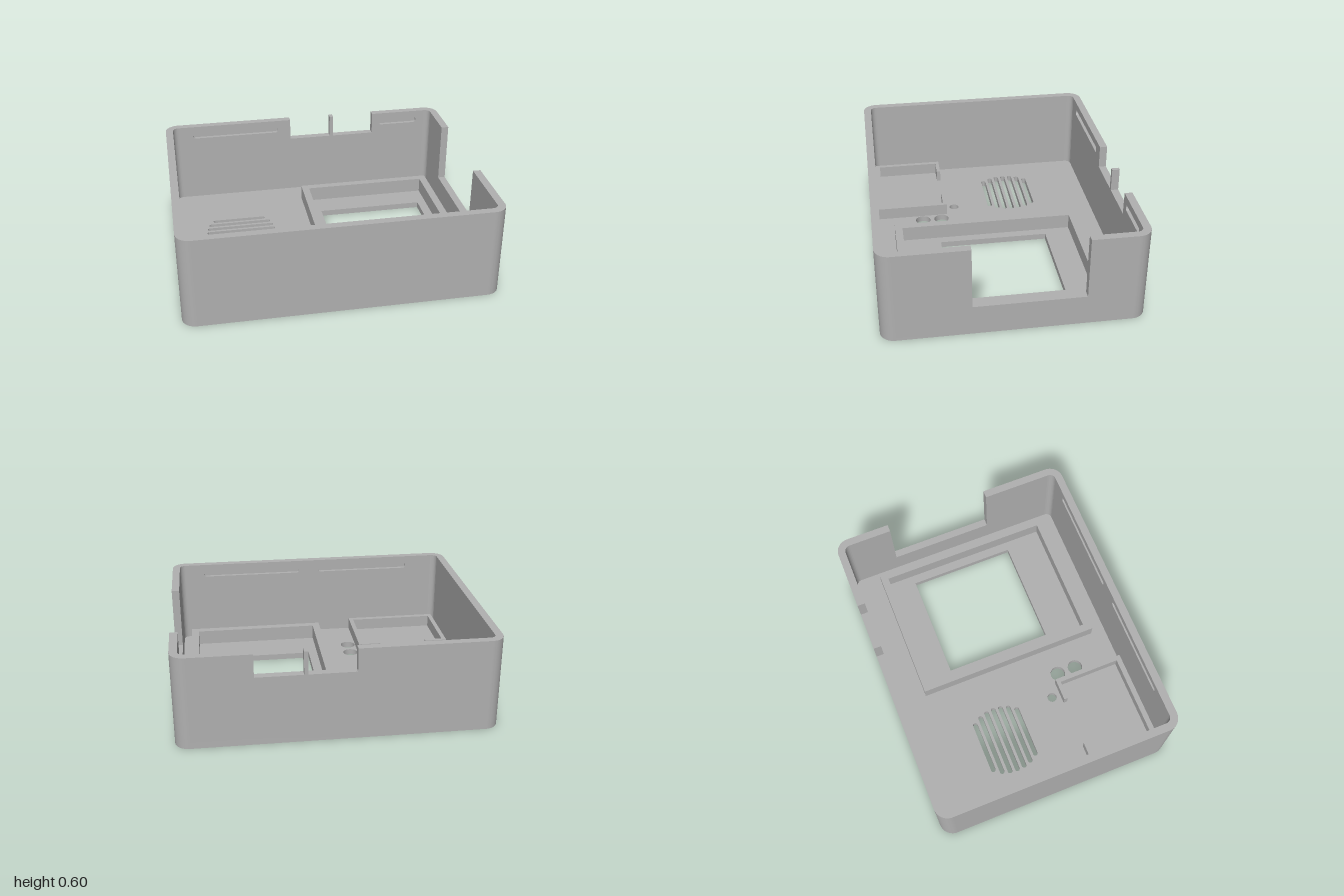
import * as THREE from 'three';
import { toCreasedNormals } from 'three/addons/utils/BufferGeometryUtils.js';

const W = 1, D = 0.81, H = 0.6;       // half width, half depth, height
const T = 0.05, R = 0.09, F = 0.04;   // wall thickness, corner radius, floor thickness

const grey = new THREE.MeshStandardMaterial({ color: 0xb0b0b0 });
grey.name = 'grey plastic';

const poly = (pts) => new THREE.Shape(pts.map(([x, y]) => new THREE.Vector2(x, y)));
const rect = (x0, y0, x1, y1) => poly([[x0, y0], [x1, y0], [x1, y1], [x0, y1]]);

function roundRect(x0, y0, x1, y1, r) {
  const s = new THREE.Shape();
  s.absarc(x1 - r, y1 - r, r, 0, Math.PI / 2);
  s.absarc(x0 + r, y1 - r, r, Math.PI / 2, Math.PI);
  s.absarc(x0 + r, y0 + r, r, Math.PI, Math.PI * 1.5);
  s.absarc(x1 - r, y0 + r, r, Math.PI * 1.5, Math.PI * 2);
  s.closePath();
  return s;
}

function circle(x, y, r) {
  const s = new THREE.Shape();
  s.absarc(x, y, r, 0, Math.PI * 2);
  return s;
}

function extrude(shape, depth) {
  return new THREE.ExtrudeGeometry(shape, { depth, bevelEnabled: false, curveSegments: 10 });
}

export function createModel() {
  const model = new THREE.Group();

  const add = (name, geo) => {
    const mesh = new THREE.Mesh(toCreasedNormals(geo, 0.6), grey);
    mesh.name = name;
    model.add(mesh);
  };
  // plan shape (x, z) raised from y0 to y1
  const plan = (name, shape, y0, y1) =>
    add(name, extrude(shape, y1 - y0).rotateX(Math.PI / 2).translate(0, y1, 0));
  // upright panel facing z, from z0 to z1
  const across = (name, shape, z0, z1) => add(name, extrude(shape, z1 - z0).translate(0, 0, z0));
  // upright panel facing x, drawn in (-z, y)
  const along = (name, shape, x0) => add(name, extrude(shape, T).rotateY(Math.PI / 2).translate(x0, 0, 0));

  // Floor with window, button holes and speaker slots
  const floor = roundRect(-W, -D, W, D, R);
  floor.holes.push(rect(0.06, -0.365, 0.78, 0.357));
  floor.holes.push(circle(-0.385, 0.218, 0.032), circle(-0.24, 0.323, 0.051), circle(-0.24, 0.453, 0.051));
  [0.182, 0.215, 0.231, 0.236, 0.231, 0.215, 0.182].forEach((half, i) => {
    const z = -0.348 + i * 0.051;
    floor.holes.push(roundRect(-0.54 - half, z - 0.016, -0.54 + half, z + 0.016, 0.0155));
  });
  plan('floor', floor, 0, F);

  // Rounded corner posts
  for (const sx of [-1, 1]) for (const sz of [-1, 1]) {
    const a = Math.atan2(sz, sx) - Math.PI / 4, b = a + Math.PI / 2;
    const cx = sx * (W - R), cz = sz * (D - R);
    const s = new THREE.Shape();
    s.absarc(cx, cz, R, a, b, false);
    s.absarc(cx, cz, R - T, b, a, true);
    s.closePath();
    plan('corner', s, F, H);
  }

  // Front and back walls: plain outer skin, inner skin with snap grooves
  const xe = W - R, skin = 0.025;
  const frontWall = () => rect(-xe, F, xe, H);
  const backWall = () => poly([[-xe, F], [xe, F], [xe, H], [0.515, H], [0.515, 0.45],
    [-0.1, 0.45], [-0.1, H], [-xe, H]]);
  const grooved = (shape, spans) => {
    for (const [x0, x1] of spans) shape.holes.push(roundRect(x0, 0.51, x1, 0.55, 0.0195));
    return shape;
  };
  across('frontWallOuter', frontWall(), D - skin, D);
  across('frontWallInner', grooved(frontWall(), [[0.08, 0.78], [-0.72, -0.06]]), D - T, D - skin);
  across('backWallOuter', backWall(), -D, -D + skin);
  across('backWallInner', grooved(backWall(), [[-0.81, -0.19], [0.565, 0.85]]), -D + skin, -D + T);
  across('notchPost', rect(0.195, 0.45, 0.22, H), -D, -D + T);

  // Side walls, one with a deep cut-out
  const ze = D - R;
  along('plainSideWall', rect(-ze, F, ze, H), -W);
  along('cutSideWall', poly([[-ze, F], [ze, F], [ze, H], [0.432, H], [0.432, 0.197],
    [-0.262, 0.197], [-0.262, H], [-ze, H]]), W - T);

  // Raised frame around the window
  const frame = rect(-0.05, -0.59, 0.89, 0.66);
  frame.holes.push(rect(0, -0.54, 0.84, 0.61));
  plan('windowFrame', frame, F, 0.14);

  // Open-backed holder in the front corner
  plan('holder', poly([[-0.935, 0.76], [-0.935, 0.277], [-0.78, 0.277], [-0.78, 0.303], [-0.905, 0.303],
    [-0.905, 0.725], [-0.325, 0.725], [-0.325, 0.303], [-0.45, 0.303], [-0.45, 0.277],
    [-0.295, 0.277], [-0.295, 0.76]]), F, 0.12);

  return model;
}
